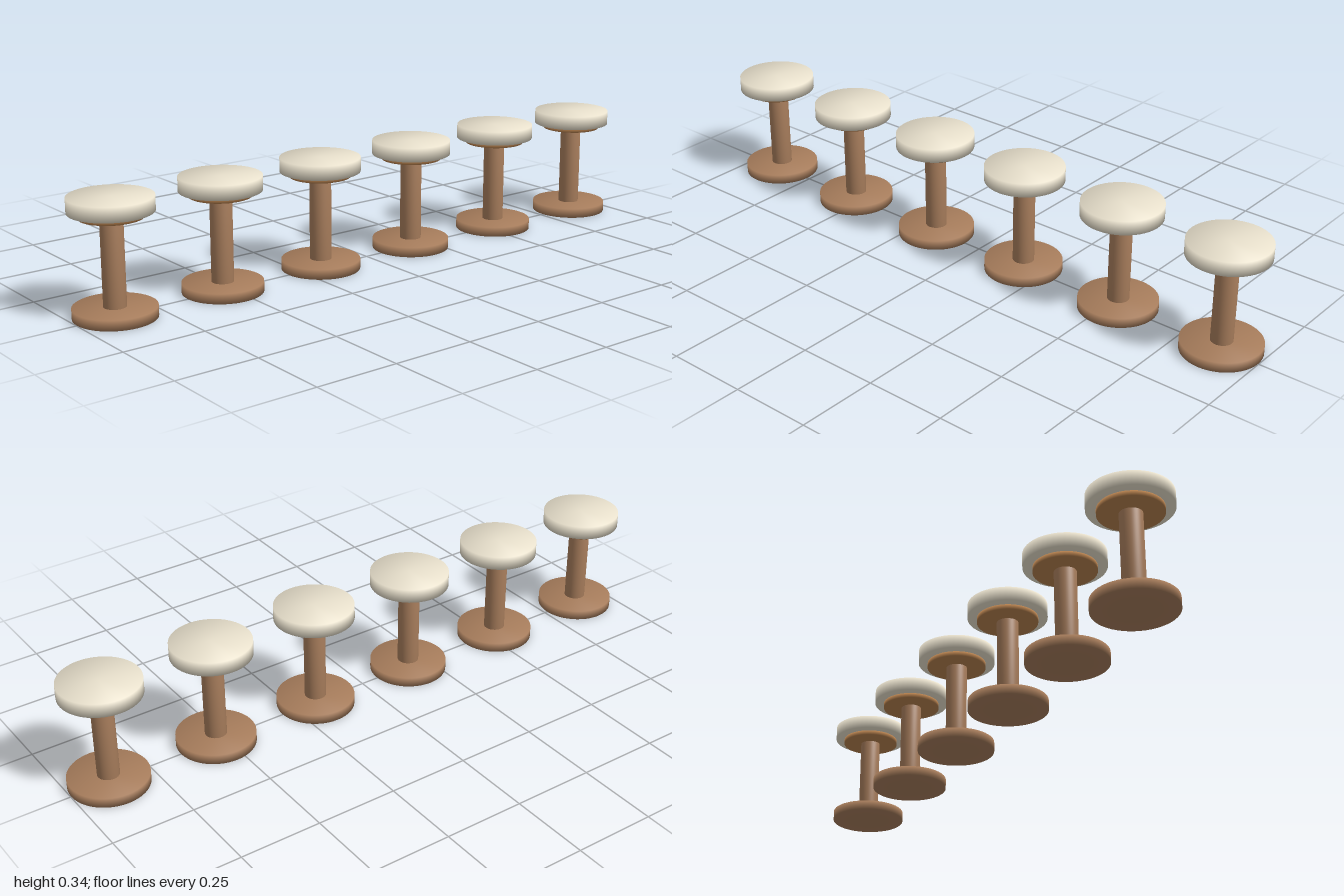
import * as THREE from 'three';
import { mergeVertices } from 'three/addons/utils/BufferGeometryUtils.js';

const COUNT = 6;
const SPACING = 0.3518;

// Closed disc or post between two heights, with normals blended over its rims
function softCylinder(radius, bottom, top) {
  let geometry = new THREE.CylinderGeometry(radius, radius, top - bottom, 48);
  geometry.deleteAttribute('normal');
  geometry.deleteAttribute('uv');
  geometry = mergeVertices(geometry, 1e-5);
  geometry.computeVertexNormals();
  geometry.translate(0, (top + bottom) / 2, 0);
  return geometry;
}

export function createModel() {
  const wood = new THREE.MeshStandardMaterial({ color: 0xa67c5b });
  const paleWood = new THREE.MeshStandardMaterial({ color: 0xb8824f });
  const fabric = new THREE.MeshStandardMaterial({ color: 0xe8e0cc });

  // Parts of one stool: name, geometry, material
  const parts = [
    ['base', softCylinder(0.1188, 0, 0.0304), wood],
    ['column', softCylinder(0.0326, 0.0304, 0.2857), wood],
    ['seatSupport', softCylinder(0.092, 0.2857, 0.301), paleWood],
    ['cushion', softCylinder(0.1205, 0.301, 0.344), fabric],
  ];

  // Row of equal stools
  const model = new THREE.Group();
  model.name = 'stoolRow';
  for (let i = 0; i < COUNT; i++) {
    const stool = new THREE.Group();
    stool.name = `stool${i + 1}`;
    stool.position.x = (i - (COUNT - 1) / 2) * SPACING;
    for (const [name, geometry, material] of parts) {
      const mesh = new THREE.Mesh(geometry, material);
      mesh.name = name;
      stool.add(mesh);
    }
    model.add(stool);
  }
  return model;
}
